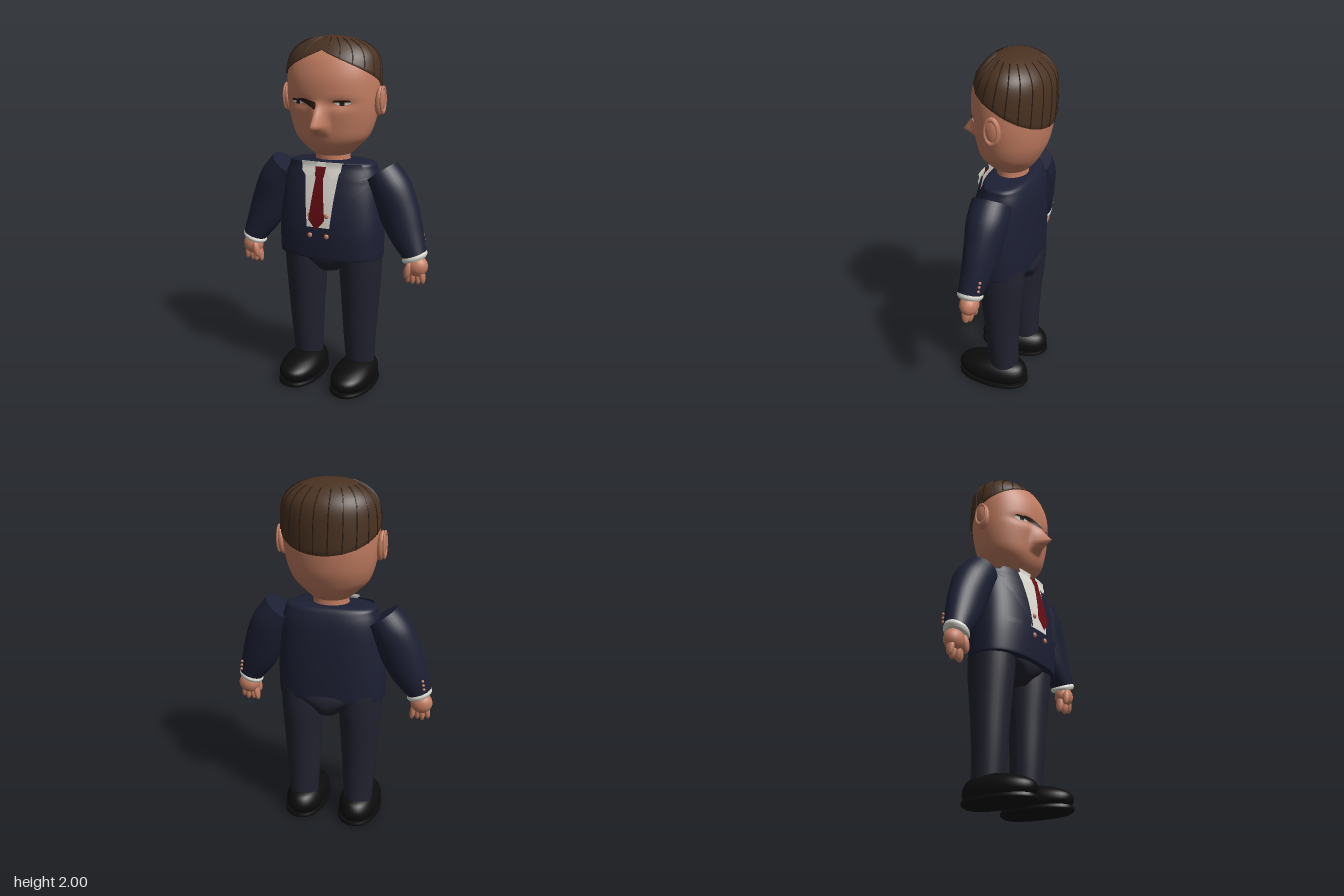
import * as THREE from 'three';

const mat = (name, color, side = THREE.FrontSide) => {
  const m = new THREE.MeshStandardMaterial({ color, side });
  m.name = name;
  return m;
};

// smooth interpolation through a list of rings; t is a fractional ring index
function ringAt(rings, t) {
  const n = rings.length - 1, i = Math.min(Math.floor(t), n - 1), f = t - i;
  const p = k => rings[Math.max(0, Math.min(n, k))];
  return rings[i].map((_, k) => {
    const a = p(i - 1)[k], b = p(i)[k], c = p(i + 1)[k], d = p(i + 2)[k];
    return b + 0.5 * f * (c - a + f * (2 * a - 5 * b + 4 * c - d + f * (3 * (b - c) + d - a)));
  });
}
function indexAtY(rings, y) {
  let lo = 0, hi = rings.length - 1;
  for (let k = 0; k < 30; k++) {
    const m = (lo + hi) / 2;
    if (ringAt(rings, m)[0] < y) lo = m; else hi = m;
  }
  return lo;
}
// surface from rows of points
function grid(rows, closed) {
  const n = rows[0].length, pos = [], idx = [];
  rows.forEach(r => r.forEach(p => pos.push(...p)));
  for (let j = 0; j < rows.length - 1; j++)
    for (let i = 0; i < (closed ? n : n - 1); i++) {
      const a = j * n + i, b = j * n + (i + 1) % n;
      idx.push(a, b, b + n, a, b + n, a + n);
    }
  const g = new THREE.BufferGeometry();
  g.setAttribute('position', new THREE.Float32BufferAttribute(pos, 3));
  g.setIndex(idx);
  g.computeVertexNormals();
  return g;
}
const spow = (v, e) => Math.sign(v) * Math.abs(v) ** (2 / e);
// ring = [y, half width, front z, back z]
const ellipsePoint = ([y, rx, zf, zb], th, e) =>
  [rx * spow(Math.sin(th), e), y, (zf + zb) / 2 + (zf - zb) / 2 * spow(Math.cos(th), e)];
// limb ring = [outer x, outer y, inner x, inner y, centre z, half depth]
const limbPoint = ([xo, yo, xi, yi, z, rz], th) => {
  const s = Math.sin(th);
  return [(xo + xi) / 2 + s * (xo - xi) / 2, (yo + yi) / 2 + s * (yo - yi) / 2, z + rz * Math.cos(th)];
};
// closed loft with flat end caps
function loft(rings, { e = 2, seg = 40, sub = 5, point = ellipsePoint, bump } = {}) {
  const rows = [], total = (rings.length - 1) * sub;
  for (let j = 0; j <= total; j++) {
    const r = ringAt(rings, j / sub), row = [];
    for (let i = 0; i < seg; i++) {
      const p = point(r, i / seg * Math.PI * 2, e);
      if (bump && p[2] > 0) p[2] += bump(p[0], p[1]);
      row.push(p);
    }
    rows.push(row);
  }
  const cap = row => {
    const c = [0, 1, 2].map(k => row.reduce((s, p) => s + p[k], 0) / seg);
    return row.map(() => c);
  };
  const last = rows[rows.length - 1];
  return grid([cap(rows[0]), rows[0], ...rows, last, cap(last)], true);
}
// thin panel lying on the front of a loft; rows = [y, x left, x right]
function panel(rows, rings, e, off, bump) {
  const out = [], maxY = rings === TORSO ? 1.31 : 9;
  for (let j = 0; j <= (rows.length - 1) * 4; j++) {
    const i = Math.min(Math.floor(j / 4), rows.length - 2), f = j / 4 - i;
    const [y, a, b] = rows[i].map((v, k) => v + (rows[i + 1][k] - v) * f);
    const [, rx, zf, zb] = ringAt(rings, indexAtY(rings, Math.min(y, maxY)));
    const line = [];
    for (let k = 0; k <= 8; k++) {
      const x = a + (b - a) * k / 8;
      const h = Math.max(0, 1 - Math.abs(x / rx) ** e) ** (1 / e);
      line.push([x, y, (zf + zb) / 2 + (zf - zb) / 2 * h + off + (bump ? bump(x, y) : 0)]);
    }
    out.push(line);
  }
  return grid(out, false);
}
function mirrored(g) {
  const m = g.clone().scale(-1, 1, 1), ix = m.index.array;
  for (let i = 0; i < ix.length; i += 3) [ix[i], ix[i + 1]] = [ix[i + 1], ix[i]];
  return m;
}
const ball = (x, y, z, rx, ry, rz, tilt = 0) =>
  new THREE.SphereGeometry(1, 20, 14).scale(rx, ry, rz).rotateZ(tilt).translate(x, y, z);

const TORSO = [[0.79, 0.3, 0.145, -0.185], [0.81, 0.305, 0.15, -0.19], [0.95, 0.305, 0.155, -0.195],
  [1.1, 0.292, 0.14, -0.195], [1.22, 0.277, 0.115, -0.19], [1.29, 0.258, 0.095, -0.175],
  [1.325, 0.235, 0.08, -0.155], [1.335, 0.1, 0.05, -0.12]];
const HEAD = [[1.35, 0.07, 0.03, -0.1], [1.37, 0.11, 0.07, -0.13], [1.41, 0.155, 0.11, -0.165],
  [1.46, 0.205, 0.135, -0.195], [1.53, 0.235, 0.15, -0.225], [1.62, 0.255, 0.165, -0.243],
  [1.7, 0.262, 0.172, -0.25], [1.78, 0.262, 0.17, -0.252], [1.85, 0.255, 0.152, -0.247],
  [1.9, 0.238, 0.128, -0.228], [1.94, 0.2, 0.095, -0.19], [1.97, 0.14, 0.06, -0.14],
  [1.985, 0.075, 0.02, -0.09], [1.99, 0.002, -0.03, -0.034]];

// nose and eye sockets
function faceBump(x, y) {
  let a = 0;
  if (y > 1.475 && y <= 1.53) a = (y - 1.475) / 0.055;
  else if (y > 1.53 && y < 1.67) a = ((1.67 - y) / 0.14) ** 1.2;
  const nose = 0.11 * a * Math.max(0, 1 - Math.abs(x) / 0.065) ** 1.3;
  const socket = 0.014 * Math.exp(-(((Math.abs(x) - 0.12) / 0.07) ** 2) - ((y - 1.65) / 0.025) ** 2);
  return nose - socket;
}
// hair surface: th around the head, v from hairline to crown
function hairPoint(th, v, lift) {
  const a = Math.abs(th > Math.PI ? th - 2 * Math.PI : th), q = Math.PI / 2;
  const y0 = a < q ? 1.925 - 0.16 * a / q : 1.765 - 0.13 * Math.sin(a - q);
  const t0 = indexAtY(HEAD, y0), n = HEAD.length - 1;
  const p = ellipsePoint(ringAt(HEAD, t0 + (n - t0) * v), th, 2);
  const k = 1 + lift * 3;
  return [p[0] * k, p[1] + lift * v, (p[2] + 0.04) * k - 0.04];
}

export function createModel() {
  const root = new THREE.Group();
  root.name = 'suitedMan';
  const D = THREE.DoubleSide;
  const skin = mat('skin', 0xc47e62), hair = mat('hair', 0x4a3221), strand = mat('hairGroove', 0x2b1c12, D);
  const jacket = mat('jacketNavy', 0x1d2034, D), trousers = mat('trouserNavy', 0x21222f);
  const white = mat('shirtWhite', 0xdcdad0, D), red = mat('tieRed', 0x640c12, D), black = mat('shoeBlack', 0x0c0c0c);
  const add = (name, g, m) => {
    const mesh = new THREE.Mesh(g, m);
    mesh.name = name;
    root.add(mesh);
  };
  const both = (name, g, m) => {
    add(name + 'Left', g, m);
    add(name + 'Right', mirrored(g), m);
  };

  // head
  add('head', loft(HEAD, { seg: 120, sub: 7, bump: faceBump }), skin);
  add('neck', loft([[1.29, 0.105, 0.05, -0.125], [1.34, 0.1, 0.05, -0.12], [1.39, 0.1, 0.05, -0.12]]), skin);
  both('ear', ball(0.272, 1.66, -0.04, 0.026, 0.08, 0.045, -0.08), skin);
  both('earRim', new THREE.TorusGeometry(0.036, 0.007, 8, 24).rotateY(Math.PI / 2)
    .scale(1, 1.8, 1).translate(0.29, 1.665, -0.04), skin);
  both('eye', panel([[1.643, 0.12, 0.13], [1.653, 0.09, 0.17], [1.665, 0.1, 0.165]], HEAD, 2, 0.005, faceBump), white);
  both('iris', panel([[1.644, 0.115, 0.14], [1.665, 0.115, 0.14]], HEAD, 2, 0.008, faceBump), strand);
  both('eyelid', panel([[1.662, 0.08, 0.172], [1.672, 0.095, 0.165]], HEAD, 2, 0.008, faceBump), strand);
  add('browShade', panel([[1.625, -0.01, 0], [1.65, -0.075, 0], [1.662, -0.11, -0.01], [1.677, -0.12, -0.08]],
    HEAD, 2, 0.007, faceBump), strand);

  // hair cap with a rolled lower edge and combed grooves
  const hairRows = [];
  for (let j = -1; j <= 24; j++)
    hairRows.push(Array.from({ length: 72 }, (_, i) =>
      hairPoint(i / 72 * Math.PI * 2, Math.max(j, 0) / 24, j < 0 ? -0.003 : 0.01)));
  add('hair', grid(hairRows, true), hair);
  for (let i = 0; i < 22; i++) {
    const pts = [];
    for (let k = 0; k <= 8; k++)
      pts.push(new THREE.Vector3(...hairPoint((i + 0.5) / 22 * Math.PI * 2 + k * 0.008, k / 8 * 0.68, 0.0105)));
    add('hairGroove', new THREE.TubeGeometry(new THREE.CatmullRomCurve3(pts), 16, 0.0035, 5), strand);
  }

  // jacket body, lapels and pockets
  add('jacket', loft(TORSO, { e: 2.5, seg: 56 }), jacket);
  both('lapel', panel([[0.975, 0.068, 0.075], [1.14, 0.085, 0.2], [1.23, 0.095, 0.255], [1.245, 0.097, 0.22],
    [1.255, 0.098, 0.25], [1.325, 0.11, 0.21]], TORSO, 2.5, 0.016), jacket);
  both('pocketFlap', panel([[0.955, 0.15, 0.25], [0.985, 0.15, 0.25]], TORSO, 2.5, 0.012), jacket);

  // shirt, collar, tie and buttons
  add('shirtFront', panel([[0.975, -0.072, 0.072], [1.33, -0.118, 0.118]], TORSO, 2.5, 0.008), white);
  both('shirtCollar', panel([[1.25, 0.07, 0.08], [1.285, 0.035, 0.115], [1.335, 0.02, 0.12]], TORSO, 2.5, 0.034), white);
  add('tie', panel([[0.97, -0.002, 0.002], [1.025, -0.048, 0.048], [1.25, -0.022, 0.022],
    [1.26, -0.026, 0.026], [1.31, -0.032, 0.032]], TORSO, 2.5, 0.04), red);
  for (const y of [0.93, 1.045]) both('jacketButton', ball(0.05, y, 0.166, 0.014, 0.014, 0.008), skin);

  // sleeves, cuffs and hands
  both('sleeve', loft([[0.565, 0.865, 0.435, 0.815, -0.01, 0.067], [0.54, 0.97, 0.35, 0.915, -0.025, 0.083],
    [0.505, 1.1, 0.285, 1.03, -0.035, 0.096], [0.45, 1.235, 0.24, 1.14, -0.04, 0.11],
    [0.37, 1.335, 0.2, 1.215, -0.04, 0.105]], { point: limbPoint, seg: 32 }), jacket);
  both('cuff', loft([[0.562, 0.83, 0.44, 0.79, -0.008, 0.064], [0.57, 0.85, 0.432, 0.802, -0.009, 0.07],
    [0.565, 0.868, 0.437, 0.82, -0.01, 0.064]], { point: limbPoint, seg: 32 }), white);
  for (let i = 0; i < 3; i++) both('cuffButton', ball(0.535 - i * 0.004, 0.885 + i * 0.025, -0.074 - i * 0.003, 0.008, 0.008, 0.008), skin);
  both('palm', ball(0.515, 0.775, -0.01, 0.062, 0.06, 0.052, 0.15), skin);
  for (let i = 0; i < 4; i++)
    both('finger', ball(0.47 + i * 0.026, 0.72 + (i === 3 ? 0.01 : 0), -0.012 + (i % 2) * 0.008, 0.017, 0.052, 0.024, (i - 1.5) * 0.1), skin);
  both('thumb', ball(0.475, 0.755, 0.03, 0.02, 0.05, 0.022, -0.2), skin);

  // trousers
  add('trouserSeat', loft([[0.7, 0.07, 0.07, -0.17], [0.74, 0.105, 0.105, -0.195], [0.79, 0.2, 0.118, -0.2],
    [0.84, 0.25, 0.1, -0.185]], { e: 2.4 }), trousers);
  const leg = (y, x, rx, zf, zb) => [x + rx, y, x - rx, y, (zf + zb) / 2, (zf - zb) / 2];
  both('trouserLeg', loft([leg(0.11, 0.167, 0.082, 0.03, -0.14), leg(0.3, 0.168, 0.095, 0.05, -0.14),
    leg(0.5, 0.17, 0.108, 0.068, -0.15), leg(0.7, 0.17, 0.12, 0.09, -0.17),
    leg(0.83, 0.17, 0.125, 0.1, -0.17)], { point: limbPoint, seg: 32 }), trousers);

  // shoes
  const shoe = rings => loft(rings, { e: 2.2 }).translate(0.165, 0, 0);
  both('shoe', shoe([[0.03, 0.1, 0.21, -0.18], [0.06, 0.117, 0.232, -0.195], [0.1, 0.112, 0.222, -0.19],
    [0.135, 0.088, 0.15, -0.165], [0.155, 0.05, 0.06, -0.11]]), black);
  both('sole', shoe([[0, 0.1, 0.215, -0.18], [0.015, 0.122, 0.235, -0.2], [0.035, 0.118, 0.232, -0.197]]), black);
  return root;
}
